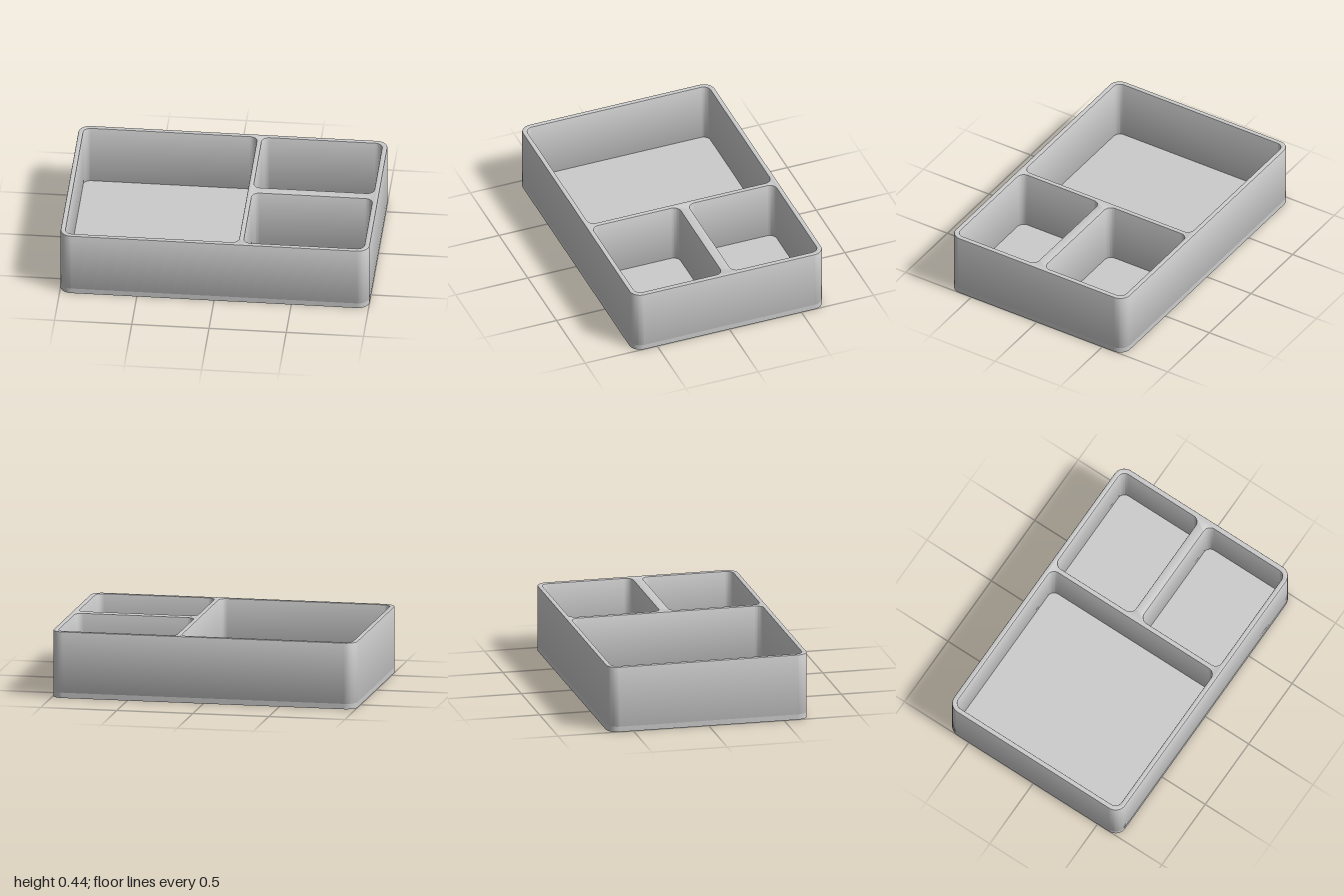
import * as THREE from 'three';
import { toCreasedNormals } from 'three/addons/utils/BufferGeometryUtils.js';

const HEIGHT = 0.435, FLOOR = 0.035, EDGE = 0.006;

// Rounded rectangle traced as four corner arcs
function roundedRect(path, x0, x1, y0, y1, r) {
  const corners = [[x1 - r, y1 - r], [x0 + r, y1 - r], [x0 + r, y0 + r], [x1 - r, y0 + r]];
  corners.forEach(([x, y], i) => path.absarc(x, y, r, i * Math.PI / 2, (i + 1) * Math.PI / 2, false));
  path.closePath();
  return path;
}

const outline = () => roundedRect(new THREE.Shape(), -1, 1, -0.665, 0.665, 0.075);

// Extrudes a plan shape upward
function extrudeUp(name, shape, options, y) {
  const raw = new THREE.ExtrudeGeometry(shape, { curveSegments: 10, ...options });
  raw.rotateX(-Math.PI / 2);
  const mesh = new THREE.Mesh(
    toCreasedNormals(raw, Math.PI / 6),
    new THREE.MeshStandardMaterial({ color: 0xcccccc })
  );
  mesh.name = name;
  mesh.position.y = y;
  return mesh;
}

export function createModel() {
  const tray = new THREE.Group();
  tray.name = 'dividedTray';

  // Solid floor slab
  tray.add(extrudeUp('floor', outline(), { depth: FLOOR, bevelEnabled: false }, 0));

  // Outer walls and dividers: one large and two small compartments
  const walls = outline();
  const compartments = [
    [-0.968, 0.155, -0.633, 0.633],
    [0.187, 0.966, 0.033, 0.633],
    [0.187, 0.966, -0.633, -0.033],
  ];
  for (const c of compartments) walls.holes.push(roundedRect(new THREE.Path(), ...c, 0.048));

  // Softened rim; the lower bevel is buried in the floor slab
  tray.add(extrudeUp('wallsAndDividers', walls, {
    depth: HEIGHT - EDGE - FLOOR,
    bevelThickness: EDGE, bevelSize: EDGE, bevelOffset: -EDGE, bevelSegments: 2,
  }, FLOOR));

  return tray;
}
